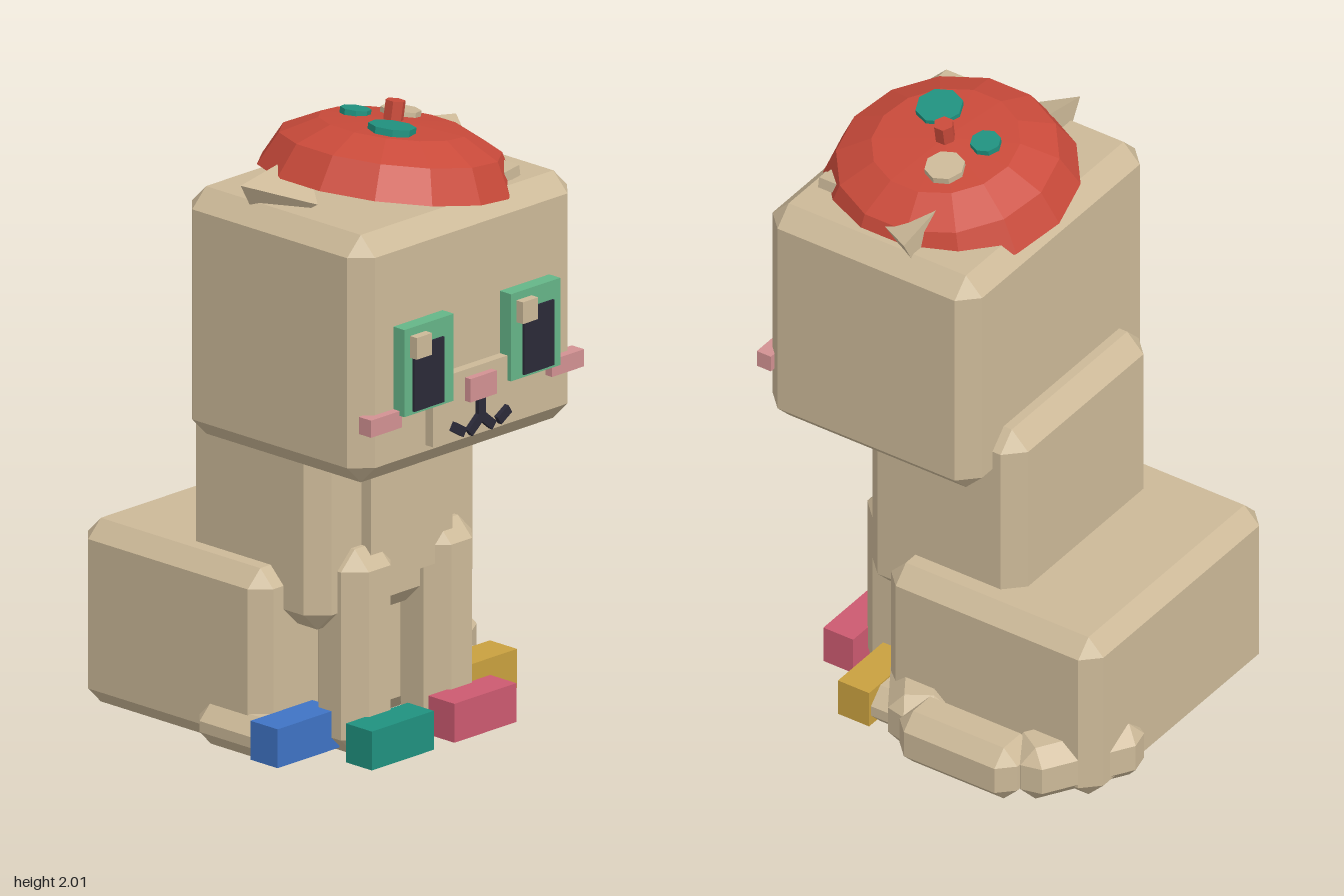
import * as THREE from 'three';
import { ConvexGeometry } from 'three/addons/geometries/ConvexGeometry.js';

const mat = (name, color) => {
  const m = new THREE.MeshStandardMaterial({ color });
  m.name = name;
  return m;
};

export function createModel() {
  const fur = mat('fur', 0xccb998), red = mat('beret red', 0xc94a3a), green = mat('iris green', 0x65b588);
  const teal = mat('teal', 0x20917f), blue = mat('blue', 0x3f73c4), rose = mat('rose', 0xcc5a70);
  const gold = mat('gold', 0xc9a03f), blush = mat('blush', 0xd29192), dark = mat('dark', 0x2a2938);
  for (const m of [fur, red, teal]) m.flatShading = true;

  const root = new THREE.Group();
  root.name = 'sittingCat';
  const add = (name, geo, material, parent = root) => {
    const mesh = new THREE.Mesh(geo, material);
    mesh.name = name;
    parent.add(mesh);
    return mesh;
  };

  // Plain box from min/max extents
  const box = (name, m, x0, x1, y0, y1, z0, z1) => {
    const b = add(name, new THREE.BoxGeometry(x1 - x0, y1 - y0, z1 - z0), m);
    b.position.set((x0 + x1) / 2, (y0 + y1) / 2, (z0 + z1) / 2);
    return b;
  };

  // Box with every edge cut flat
  const chamferGeo = (w, h, d, c) => {
    const pts = [];
    for (const sx of [-1, 1]) for (const sy of [-1, 1]) for (const sz of [-1, 1])
      for (let k = 0; k < 3; k++)
        pts.push(new THREE.Vector3(
          sx * (w / 2 - (k === 0 ? 0 : c)),
          sy * (h / 2 - (k === 1 ? 0 : c)),
          sz * (d / 2 - (k === 2 ? 0 : c))));
    return new ConvexGeometry(pts);
  };
  const block = (name, c, x0, x1, y0, y1, z0, z1) => {
    const b = add(name, chamferGeo(x1 - x0, y1 - y0, z1 - z0, c), fur);
    b.position.set((x0 + x1) / 2, (y0 + y1) / 2, (z0 + z1) / 2);
    return b;
  };

  // Head and body
  block('head', 0.06, -0.545, 0.415, 0.975, 1.77, -0.175, 0.6);
  block('torso', 0.06, -0.435, 0.3, 0.405, 1.16, -0.265, 0.31);
  box('chest', fur, -0.245, 0.11, 0.54, 1.1, 0.2, 0.35);
  block('haunches', 0.055, -0.535, 0.405, 0.005, 0.595, -0.62, 0.165);

  // Legs, hind feet and coloured socks
  block('rightFrontLeg', 0.06, -0.35, -0.135, 0, 0.66, 0.17, 0.385);
  block('leftFrontLeg', 0.06, 0.01, 0.22, 0, 0.66, 0.17, 0.385);
  block('rightHindFoot', 0.05, -0.58, -0.36, 0.005, 0.14, -0.1, 0.22);
  block('leftHindFoot', 0.05, 0.23, 0.45, 0.005, 0.14, -0.1, 0.22);
  box('rightHindSock', blue, -0.585, -0.315, 0.02, 0.145, 0.17, 0.285);
  box('rightFrontSock', teal, -0.38, -0.11, 0.01, 0.135, 0.375, 0.485);
  box('leftFrontSock', rose, -0.02, 0.25, 0.01, 0.135, 0.375, 0.485);
  box('leftHindSock', gold, 0.19, 0.46, 0.02, 0.145, 0.17, 0.285);

  // Tail curling round the left side: start and end of each piece as [x, z]
  const tail = [[[0.15, -0.61], [0.5, -0.395]], [[0.49, -0.43], [0.49, 0.005]], [[0.5, -0.04], [0.2, 0.15]]];
  for (const [a, b] of tail) {
    const dx = b[0] - a[0], dz = b[1] - a[1];
    const piece = add('tailPiece', chamferGeo(0.19, 0.19, Math.hypot(dx, dz), 0.05), fur);
    piece.position.set((a[0] + b[0]) / 2, 0.118, (a[1] + b[1]) / 2);
    piece.rotation.y = Math.atan2(dx, dz);
  }

  // Ears: four-sided spikes pointing forward, mirrored about the head centre
  const mid = -0.065;
  for (const s of [-1, 1]) {
    const pts = [[0.47, 1.83, 0.08], [0.195, 1.88, 0.08], [0.145, 1.7, 0.08], [0.375, 1.66, 0.08], [0.34, 1.785, 0.28]]
      .map(([x, y, z]) => new THREE.Vector3(mid + s * x, y, z));
    add(s > 0 ? 'leftEar' : 'rightEar', new ConvexGeometry(pts), fur);
  }

  // Face
  box('muzzle', fur, -0.265, 0.135, 1.055, 1.27, 0.58, 0.632);
  box('nose', blush, -0.125, -0.01, 1.17, 1.245, 0.62, 0.655);
  const eyes = [['right', -0.405, -0.37, -0.38], ['left', 0.06, 0.11, 0.083]];
  for (const [side, iris, pupil, glint] of eyes) {
    box(side + 'Iris', green, iris, iris + 0.215, 1.19, 1.47, 0.59, 0.647);
    box(side + 'Pupil', dark, pupil, pupil + 0.132, 1.2, 1.41, 0.646, 0.655);
    box(side + 'EyeGlint', fur, glint, glint + 0.067, 1.375, 1.445, 0.63, 0.675);
  }
  box('rightCheek', blush, -0.53, -0.395, 1.15, 1.205, 0.575, 0.627);
  box('leftCheek', blush, 0.26, 0.4, 1.15, 1.205, 0.575, 0.627);

  // Mouth strokes: x, y, length, angle
  const strokes = [[0, 1.135, 0.07, Math.PI / 2]];
  for (const s of [-1, 1]) strokes.push([s * 0.026, 1.09, 0.07, -s * 0.7], [s * 0.098, 1.09, 0.055, s * 0.55]);
  for (const [x, y, len, angle] of strokes) {
    const stroke = add('mouthStroke', new THREE.BoxGeometry(len, 0.03, 0.02), dark);
    stroke.position.set(mid + x, y, 0.638);
    stroke.rotation.z = angle;
  }

  // Beret, tilted towards the left ear
  const beret = new THREE.Group();
  beret.name = 'beret';
  beret.position.set(-0.03, 1.768, 0.207);
  beret.rotation.z = -0.172;
  root.add(beret);
  const profile = [[0, 0], [0.4, 0], [0.345, 0.105], [0.23, 0.163], [0, 0.178]].map(p => new THREE.Vector2(...p));
  add('beretCap', new THREE.LatheGeometry(profile, 14), red, beret);
  add('beretStem', new THREE.CylinderGeometry(0.032, 0.032, 0.09, 6), red, beret).position.y = 0.192;
  const spots = [[-0.04, -0.122, 0.048, teal], [-0.1, 0.09, 0.074, teal], [0.108, -0.072, 0.063, fur]];
  for (const [x, z, r, m] of spots)
    add('beretSpot', new THREE.CylinderGeometry(r, r, 0.025, 8), m, beret).position.set(x, 0.174, z);
  const tag = box('beretTag', fur, 0.175, 0.24, 1.77, 1.805, 0.44, 0.51);
  tag.rotation.z = 0.15;

  return root;
}
